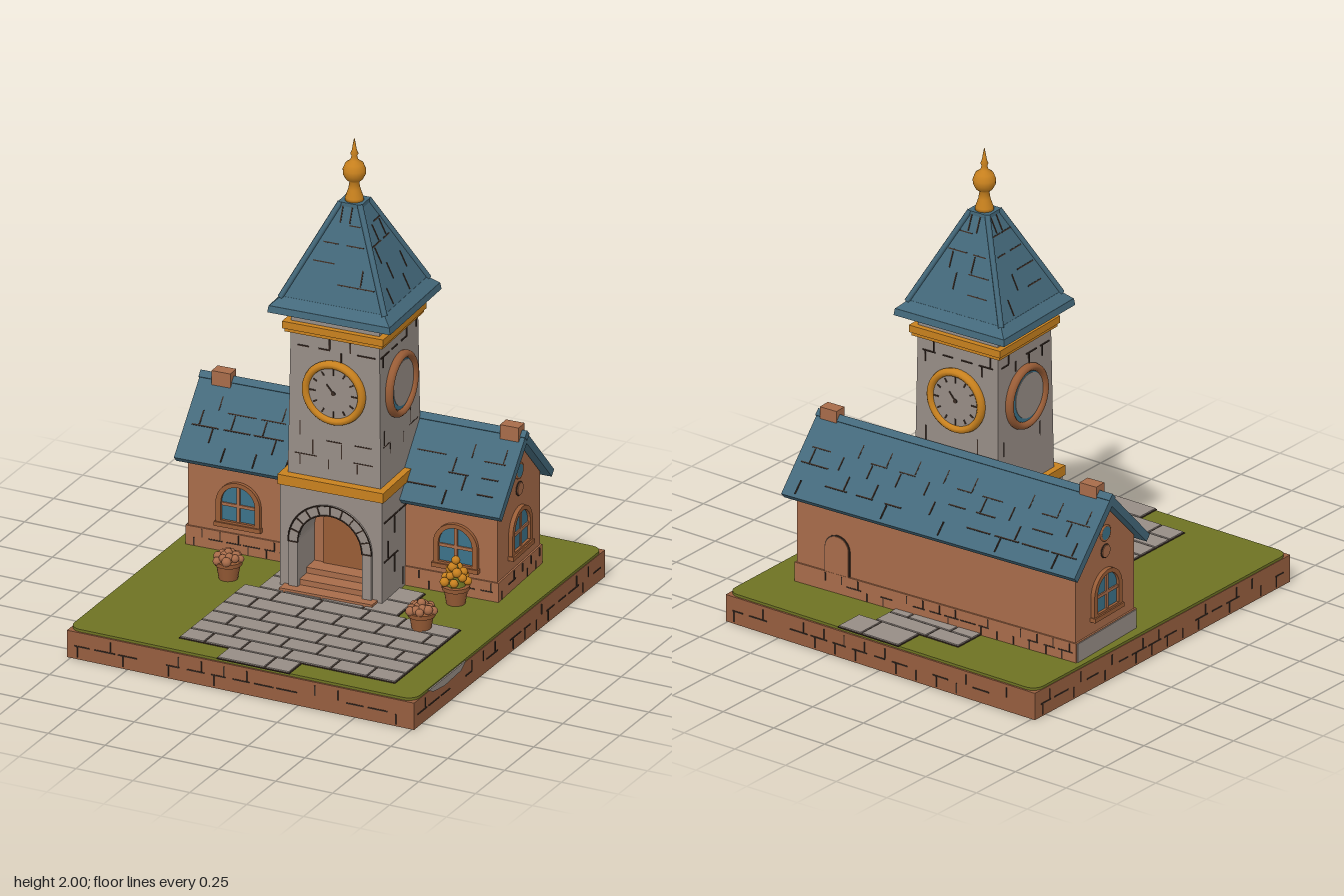
import * as THREE from 'three';
import { mergeGeometries, toCreasedNormals } from 'three/addons/utils/BufferGeometryUtils.js';

const mat = (name, color) => {
  const m = new THREE.MeshStandardMaterial({ color });
  m.name = name;
  return m;
};
const brick = mat('brick', 0xa86c4a), baseBrick = mat('baseBrick', 0x965e3f);
const stone = mat('stone', 0x978d86), slate = mat('slate', 0x44697b);
const gold = mat('gold', 0xc8811e), grass = mat('grass', 0x6e7223);
const seam = mat('seam', 0x3a2c24), glass = mat('glass', 0x3c7289);
const timber = mat('timber', 0x985c36);

function add(parent, name, geo, material, x = 0, y = 0, z = 0) {
  const m = new THREE.Mesh(geo, material);
  m.name = name;
  m.position.set(x, y, z);
  parent.add(m);
  return m;
}
function group(parent, name, x = 0, y = 0, z = 0, ry = 0, rx = 0) {
  const g = new THREE.Group();
  g.name = name;
  g.position.set(x, y, z);
  g.rotation.set(rx, ry, 0);
  parent.add(g);
  return g;
}
const box = (w, h, d) => new THREE.BoxGeometry(w, h, d);
const extrude = (shape, depth) => new THREE.ExtrudeGeometry(shape, { depth, bevelEnabled: false, curveSegments: 20 });
const polygon = (pts) => new THREE.Shape(pts.map(([x, y]) => new THREE.Vector2(x, y)));
const disc = (r, d) => new THREE.CylinderGeometry(r, r, d, 36).rotateX(Math.PI / 2);
// square tapering block, measured by half widths
const taper = (top, bottom, h) => toCreasedNormals(
  new THREE.CylinderGeometry(top * Math.SQRT2, bottom * Math.SQRT2, h, 4).rotateY(Math.PI / 4), 0.4);

function random(seed) {
  let s = seed * 7919 + 13;
  return () => (s = (s * 16807) % 2147483647) / 2147483647;
}

// broken masonry joints on an upright panel; shrink narrows it upward
function joints(parent, w, h, rows, seed, shrink = 0) {
  const rnd = random(seed), parts = [], rh = h / rows;
  for (let r = 0; r < rows; r++) {
    const rw = w * (1 - shrink * (r + 1) / rows), n = Math.max(2, Math.round(rw / (rh * 2)));
    for (let i = 0; i < n; i++) {
      const bw = rw / n, x = -rw / 2 + bw * (i + 0.5), y = -h / 2 + rh * (r + 1);
      if (r < rows - 1 && rnd() < 0.6) parts.push(box(bw * (0.5 + rnd() * 0.45), 0.005, 0.004).translate(x, y, 0));
      if (rnd() < 0.55) parts.push(box(0.005, rh * 0.85, 0.004).translate(x + (r % 2 ? bw * 0.25 : -bw * 0.2), y - rh / 2, 0));
    }
  }
  if (parts.length) add(parent, 'joints', mergeGeometries(parts), seam);
}

// round-headed outline, bottom centre at the origin
function arch(w, h, Type = THREE.Shape) {
  const s = new Type(), r = w / 2;
  s.moveTo(-r, 0);
  s.lineTo(r, 0);
  s.lineTo(r, h - r);
  s.absarc(0, h - r, r, 0, Math.PI, false);
  s.lineTo(-r, 0);
  return s;
}
function archedWindow(parent, x, y, z, ry = 0) {
  const g = group(parent, 'archedWindow', x, y, z, ry);
  const frame = arch(0.19, 0.19);
  frame.holes.push(new THREE.Path(arch(0.145, 0.15).getPoints(16).map((p) => p.setY(p.y + 0.022))));
  add(g, 'windowFrame', extrude(frame, 0.018), timber);
  add(g, 'windowGlass', extrude(arch(0.145, 0.15), 0.005), glass, 0, 0.022, 0.001);
  add(g, 'mullion', box(0.013, 0.15, 0.01), brick, 0, 0.097, 0.007);
  add(g, 'transom', box(0.145, 0.013, 0.01), brick, 0, 0.09, 0.007);
  add(g, 'sill', box(0.2, 0.018, 0.025), timber, 0, 0.004, 0.012);
}

function buildGround(root) {
  const g = group(root, 'ground');
  add(g, 'basePlinth', box(1.525, 0.115, 1.64), baseBrick, -0.003, 0.0575, 0);
  const lawn = new THREE.Shape();
  const [a, b, r] = [0.76, 0.812, 0.05];
  lawn.moveTo(-a + r, -b);
  for (const [sx, sy, t] of [[1, -1, -0.5], [1, 1, 0], [-1, 1, 0.5], [-1, -1, 1]])
    lawn.absarc(sx * (a - r), sy * (b - r), r, t * Math.PI, (t + 0.5) * Math.PI, false);
  add(g, 'lawn', extrude(lawn, 0.018).rotateX(-Math.PI / 2), grass, -0.003, 0.108, 0);
  [[1.5, 0, 0.821, 0], [1.5, 0, -0.821, 2], [1.6, 0.76, 0, 1], [1.6, -0.766, 0, 3]].forEach(([w, x, z, q], i) =>
    joints(group(g, 'baseJoints', x, 0.055, z, q * Math.PI / 2), w, 0.1, 2, i + 1));
  // worn stone patch on the side rim
  add(g, 'sideStone', extrude(polygon([[-0.16, 0], [0.16, 0], [0.12, -0.025], [-0.02, -0.033], [-0.12, -0.02]]), 0.006)
    .rotateY(Math.PI / 2), stone, 0.757, 0.121, 0.54);

  // paving: a dark bed covered by rows of slabs [x0, x1, z0, z1]
  const slabs = [], beds = [];
  [[-0.33, 0.62, 0.145, 0.71], [-0.27, 0.34, -0.1, 0.145], [-0.11, 0.21, 0.71, 0.818],
    [-0.28, 0.13, -0.68, -0.5], [-0.09, 0.21, -0.818, -0.68]].forEach(([x0, x1, z0, z1], k) => {
    beds.push(box(x1 - x0, 0.004, z1 - z0).translate((x0 + x1) / 2, 0.127, (z0 + z1) / 2));
    const rows = Math.max(1, Math.round((z1 - z0) / 0.1)), d = (z1 - z0) / rows;
    for (let i = 0; i < rows; i++) {
      let x = x0;
      for (let n = 0; x < x1 - 0.001; n++) {
        let e = x + (n === 0 && i % 2 ? 0.11 : 0.16 + 0.025 * ((n + i + k) % 3));
        if (x1 - e < 0.07) e = x1;
        slabs.push(box(e - x - 0.009, 0.007, d - 0.009).translate((x + e) / 2, 0.1305, z0 + d * (i + 0.5)));
        x = e;
      }
    }
  });
  add(g, 'pavingBed', mergeGeometries(beds), seam);
  add(g, 'pavingSlabs', mergeGeometries(slabs), stone);
}

function buildHouse(root) {
  const g = group(root, 'house', -0.053, 0, -0.338, 0.045);
  const alongX = (pts, len) => extrude(polygon(pts), len).rotateY(Math.PI / 2).translate(-len / 2, 0, 0);
  add(g, 'houseWalls', alongX([[-0.2, 0.12], [0.2, 0.12], [0.2, 0.522], [0, 0.725], [-0.2, 0.522]], 1.33), brick);
  add(g, 'wallPlinth', box(1.345, 0.085, 0.414), brick, 0, 0.165, 0);
  add(g, 'houseRoof', alongX([[0.236, 0.49], [0.258, 0.513], [0, 0.777], [-0.258, 0.513], [-0.236, 0.49], [0, 0.73]], 1.4), slate);
  const ridge = add(g, 'ridgeCap', box(1.405, 0.03, 0.03), slate, 0, 0.763, 0);
  ridge.rotation.x = Math.PI / 4;
  for (const s of [0, 1]) {
    const side = group(g, 'longSide', 0, 0, 0, s * Math.PI);
    joints(group(side, 'roofJoints', 0, 0.645, 0.1295, 0, -0.797), 1.36, 0.35, 5, 11 + s);
    joints(group(side, 'plinthJoints', 0, 0.165, 0.207), 1.32, 0.08, 2, 13 + s);
    const end = group(g, 'gableEnd', s ? -0.665 : 0.665, 0, 0, s ? -Math.PI / 2 : Math.PI / 2);
    archedWindow(end, 0, 0.265, 0);
    add(end, 'roundPane', disc(0.028, 0.01), glass, 0, 0.607, 0.002);
    add(end, 'paneRing', new THREE.TorusGeometry(0.03, 0.005, 8, 28), timber, 0, 0.607, 0.003);
    add(end, 'gableBoss', disc(0.026, 0.014), brick, 0, 0.53, 0.002);
    add(end, 'bossRing', new THREE.TorusGeometry(0.027, 0.003, 8, 28), seam, 0, 0.53, 0.003);
    joints(group(end, 'plinthJoints', 0, 0.165, 0.008), 0.4, 0.08, 2, 15 + s);
    add(g, 'chimney', box(0.08, 0.065, 0.055), brick, s ? -0.6 : 0.64, 0.772, 0.005);
  }
  add(g, 'stoneFooting', box(0.006, 0.08, 0.4), stone, -0.674, 0.165, 0);
  for (const x of [-0.445, 0.49]) archedWindow(g, x, 0.24, 0.198);
  // blind doorway on the back wall
  const door = group(g, 'backDoor', 0.47, 0.208, -0.2, Math.PI);
  add(door, 'doorOutline', extrude(arch(0.12, 0.165), 0.004), seam);
  add(door, 'doorPanel', extrude(arch(0.11, 0.16), 0.007), brick);
}

function buildClock(parent, x, z, ry, rim, shaded) {
  const g = group(parent, 'clock', x, 0.985, z, ry);
  if (shaded) add(g, 'clockGlass', disc(0.108, 0.012), glass, 0, 0, 0.004);
  add(g, 'clockFace', disc(shaded ? 0.094 : 0.112, 0.016), stone, shaded ? 0.013 : 0, 0, 0.004);
  const ring = add(g, 'clockRim', new THREE.TorusGeometry(0.12, 0.016, 10, 40), rim, 0, 0, 0.006);
  ring.scale.z = 1.3;
  if (shaded) return;
  const marks = [];
  for (let i = 0; i < 12; i++)
    marks.push(box(0.006, i % 3 ? 0.018 : 0.026, 0.004).translate(0, 0.09, 0.013).rotateZ(i * Math.PI / 6));
  marks.push(box(0.006, 0.05, 0.004).translate(0, 0.02, 0.013).rotateZ(0.7), disc(0.009, 0.006).translate(0, 0, 0.013));
  add(g, 'clockMarks', mergeGeometries(marks), seam);
}

function buildTower(root) {
  const g = group(root, 'tower', 0.006, 0, -0.14, 0.045);
  // porch storey with an open arch
  const wall = polygon([[-0.22, 0.12], [0.22, 0.12], [0.22, 0.57], [-0.22, 0.57]]);
  wall.holes.push(new THREE.Path(arch(0.28, 0.345).getPoints(20).map((p) => p.setY(p.y + 0.13))));
  add(g, 'porchWalls', extrude(wall, 0.41), stone, 0, 0, -0.19);
  add(g, 'doorway', box(0.3, 0.38, 0.02), brick, 0, 0.31, 0.06);
  add(g, 'doorLeaf', extrude(arch(0.2, 0.27), 0.01), timber, 0, 0.19, 0.068);
  const trim = new THREE.Shape();
  trim.absarc(0, 0, 0.178, 0, Math.PI, false);
  trim.absarc(0, 0, 0.138, Math.PI, 0, true);
  add(g, 'archTrim', extrude(trim, 0.02), stone, 0, 0.335, 0.212);
  const lines = [new THREE.TorusGeometry(0.179, 0.003, 6, 30, Math.PI), new THREE.TorusGeometry(0.138, 0.003, 6, 30, Math.PI)];
  for (let i = 0; i <= 10; i++) lines.push(box(0.04, 0.005, 0.004).translate(0.158, 0, 0).rotateZ(i * Math.PI / 10));
  add(g, 'archJoints', mergeGeometries(lines), seam, 0, 0.335, 0.233);
  for (const s of [-1, 1]) {
    add(g, 'archPost', box(0.04, 0.21, 0.02), stone, s * 0.158, 0.23, 0.222);
    joints(group(g, 'porchJoints', s * 0.222, 0.345, 0.07, s * Math.PI / 2), 0.28, 0.42, 5, 30 + s);
  }
  add(g, 'frontStep', box(0.4, 0.018, 0.1), brick, 0, 0.135, 0.22);
  add(g, 'middleStep', box(0.28, 0.045, 0.15), brick, 0, 0.145, 0.135);
  add(g, 'topStep', box(0.28, 0.07, 0.09), brick, 0, 0.157, 0.1);
  add(g, 'lowerBand', box(0.455, 0.042, 0.435), gold, 0, 0.588, 0.01);

  // clock storey
  const shaft = add(g, 'shaft', taper(0.19, 0.2, 0.73), stone, 0, 0.94, 0);
  shaft.scale.z = 0.95;
  for (let i = 0; i < 4; i++) {
    const face = group(g, 'shaftFace', 0, 0, 0, i * Math.PI / 2);
    const d = i % 2 ? 0.195 : 0.186;
    joints(group(face, 'shaftJoints', 0, 0.735, d + 0.001), 0.37, 0.22, 3, 40 + i);
    joints(group(face, 'shaftJoints', 0, 1.16, d - 0.001), 0.36, 0.1, 2, 50 + i);
    buildClock(face, 0, d, 0, i % 2 ? timber : gold, i % 2);
  }
  add(g, 'upperBand', box(0.435, 0.03, 0.41), gold, 0, 1.243, 0);
  add(g, 'upperBandLip', box(0.42, 0.018, 0.395), gold, 0, 1.222, 0);

  // spire roof with flared eaves, hip ridges and finial
  const roof = group(g, 'spireRoof');
  roof.scale.z = 0.92;
  add(roof, 'eaves', taper(0.26, 0.264, 0.028), slate, 0, 1.317, 0);
  add(roof, 'eavesFlare', taper(0.222, 0.26, 0.035), slate, 0, 1.3475, 0);
  add(roof, 'spire', taper(0.042, 0.222, 0.372), slate, 0, 1.549, 0);
  add(roof, 'spireCap', box(0.1, 0.016, 0.1), slate, 0, 1.73, 0);
  for (let i = 0; i < 4; i++) {
    const side = group(roof, 'roofSide', 0, 0, 0, i * Math.PI / 2);
    const hip = new THREE.LineCurve3(new THREE.Vector3(0.225, 1.36, 0.225), new THREE.Vector3(0.042, 1.735, 0.042));
    add(side, 'hipRidge', new THREE.TubeGeometry(hip, 1, 0.012, 6), slate);
    joints(group(side, 'roofJoints', 0, 1.549, 0.133, 0, -0.451), 0.4, 0.4, 5, 60 + i, 0.8);
  }
  const profile = [[0.001, 1.73], [0.038, 1.735], [0.036, 1.75], [0.024, 1.785], [0.019, 1.815], [0.034, 1.827], [0.045, 1.848],
    [0.046, 1.868], [0.036, 1.893], [0.016, 1.908], [0.011, 1.925], [0.016, 1.935], [0.01, 1.95], [0.004, 1.985], [0.001, 2]];
  add(g, 'finial', new THREE.LatheGeometry(profile.map(([x, y]) => new THREE.Vector2(x, y)), 20), gold);
}

function buildPot(root, x, z, flower, height, seed) {
  const g = group(root, 'flowerPot', x, 0.125, z), rnd = random(seed);
  add(g, 'pot', new THREE.CylinderGeometry(0.05, 0.038, 0.07, 16), timber, 0, 0.035, 0);
  add(g, 'potRim', new THREE.CylinderGeometry(0.057, 0.055, 0.018, 16), timber, 0, 0.07, 0);
  const heads = [];
  for (let i = 0; i < 16; i++) {
    const a = i * 2.4, r = 0.052 * Math.sqrt(i / 15);
    heads.push(new THREE.IcosahedronGeometry(0.016 + rnd() * 0.004, 1)
      .translate(Math.cos(a) * r, 0.075 + (height - 0.09) * (1 - r / 0.06) + rnd() * 0.01, Math.sin(a) * r));
  }
  add(g, 'blossoms', mergeGeometries(heads), flower);
  if (height > 0.15) add(g, 'leaves', new THREE.ConeGeometry(0.045, height - 0.08, 8), grass, 0, 0.07 + (height - 0.08) / 2, 0);
}

export function createModel() {
  const root = new THREE.Group();
  root.name = 'clockTowerHouse';
  buildGround(root);
  buildHouse(root);
  buildTower(root);
  buildPot(root, -0.42, 0.11, brick, 0.12, 3);
  buildPot(root, 0.475, 0.2, brick, 0.12, 5);
  buildPot(root, 0.48, -0.085, gold, 0.19, 8);
  return root;
}
